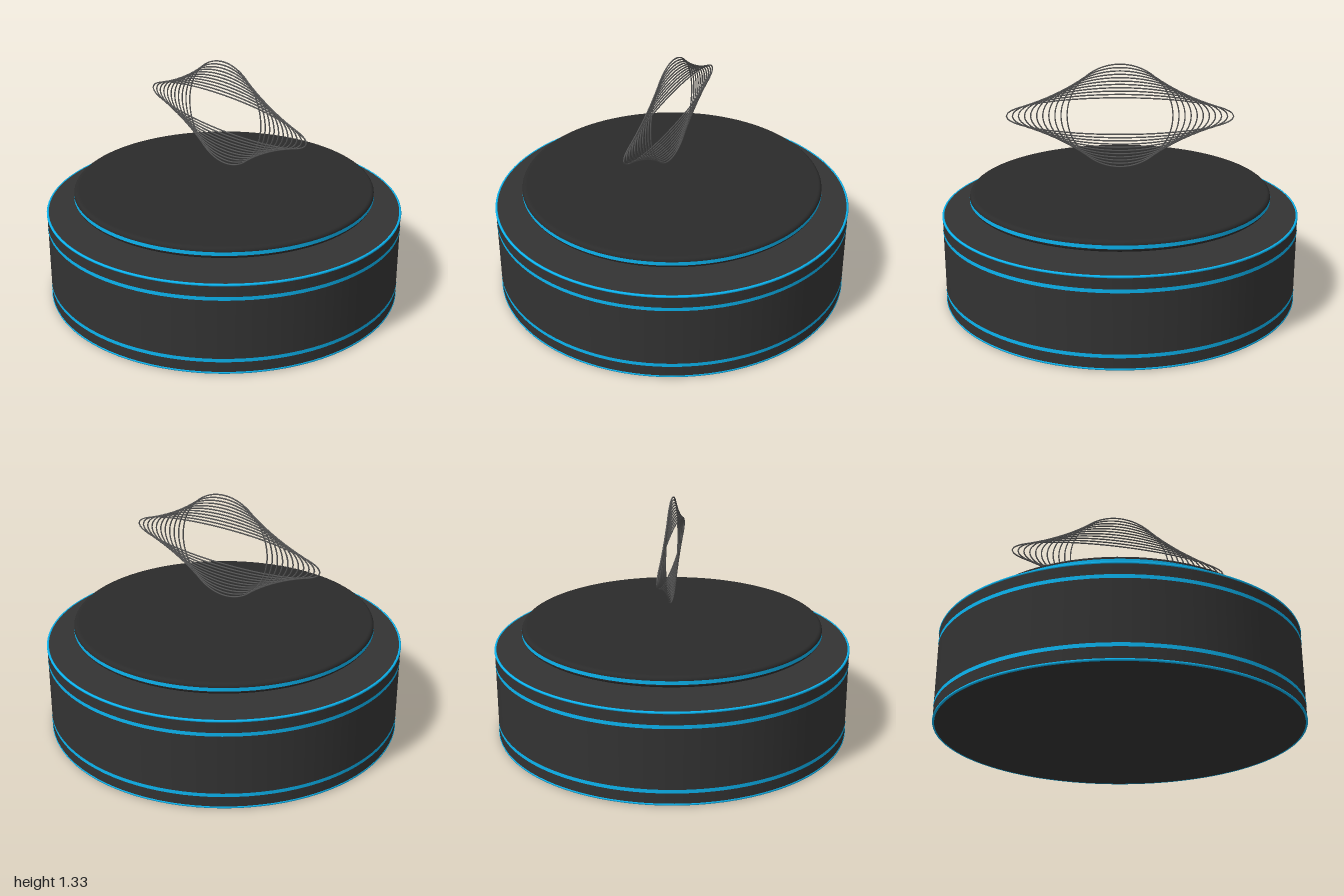
import * as THREE from 'three';

const SEG = 96;
const mat = (color) => new THREE.MeshStandardMaterial({ color });

export function createModel() {
  const model = new THREE.Group();
  const bodyMat = mat(0x333333);
  const discMat = mat(0x2b2b2b);
  const glowMat = mat(0x0bb4f0);
  const wireMat = mat(0x555555);

  function add(name, geometry, material, y) {
    const mesh = new THREE.Mesh(geometry, material);
    mesh.name = name;
    mesh.position.y = y;
    model.add(mesh);
    return mesh;
  }

  // thin closed band wrapped around a cylinder
  const band = (radius, height) => new THREE.CylinderGeometry(radius, radius, height, SEG, 1, true);

  // round base
  add('base', new THREE.CylinderGeometry(0.997, 0.997, 0.506, SEG), bodyMat, 0.255);

  // two glowing stripes on the side wall
  for (const [name, y] of [['lowerStripe', 0.08], ['upperStripe', 0.43]]) {
    add(name, band(0.999, 0.02), glowMat, y);
  }

  // glowing trim on the bottom and top edges
  for (const [name, y] of [['bottomTrim', 0.007], ['topTrim', 0.503]]) {
    add(name, new THREE.TorusGeometry(0.993, 0.007, 8, SEG).rotateX(Math.PI / 2), glowMat, y);
  }

  // floating disc with a rounded edge
  const R = 0.842, H = 0.03, C = 0.02;
  const flat = (y, r0, r1) => [new THREE.Vector2(r0, y), new THREE.Vector2(r1, y)];
  const corner = (cy, from) => Array.from({ length: 7 }, (_, i) => {
    const a = from + (i / 6) * Math.PI / 2;
    return new THREE.Vector2(R - C + C * Math.cos(a), cy + C * Math.sin(a));
  });
  const profile = [
    ...flat(-H, 0, R - C - 0.005),
    ...corner(-H + C, -Math.PI / 2),
    ...corner(H - C, 0),
    ...flat(H, R - C - 0.005, 0),
  ];
  add('disc', new THREE.LatheGeometry(profile, SEG), discMat, 0.595);
  add('discStripe', band(R + 0.002, 0.02), glowMat, 0.595);

  // upright nest of wire ellipses, morphing from a circle to a wide, flat oval
  const emblem = new THREE.Group();
  emblem.name = 'wireEllipses';
  emblem.position.y = 1.035;
  const COUNT = 11;
  for (let i = 0; i < COUNT; i++) {
    const t = i / (COUNT - 1);
    const a = THREE.MathUtils.lerp(0.293, 0.63, t);
    const b = THREE.MathUtils.lerp(0.293, 0.105, t);
    const points = Array.from({ length: 64 }, (_, k) => {
      const ang = (k / 64) * Math.PI * 2;
      return new THREE.Vector3(a * Math.cos(ang), b * Math.sin(ang), 0);
    });
    const path = new THREE.CatmullRomCurve3(points, true);
    const wire = new THREE.Mesh(new THREE.TubeGeometry(path, 128, 0.004, 6, true), wireMat);
    wire.name = 'wireEllipse' + (i + 1);
    emblem.add(wire);
  }
  model.add(emblem);

  return model;
}
